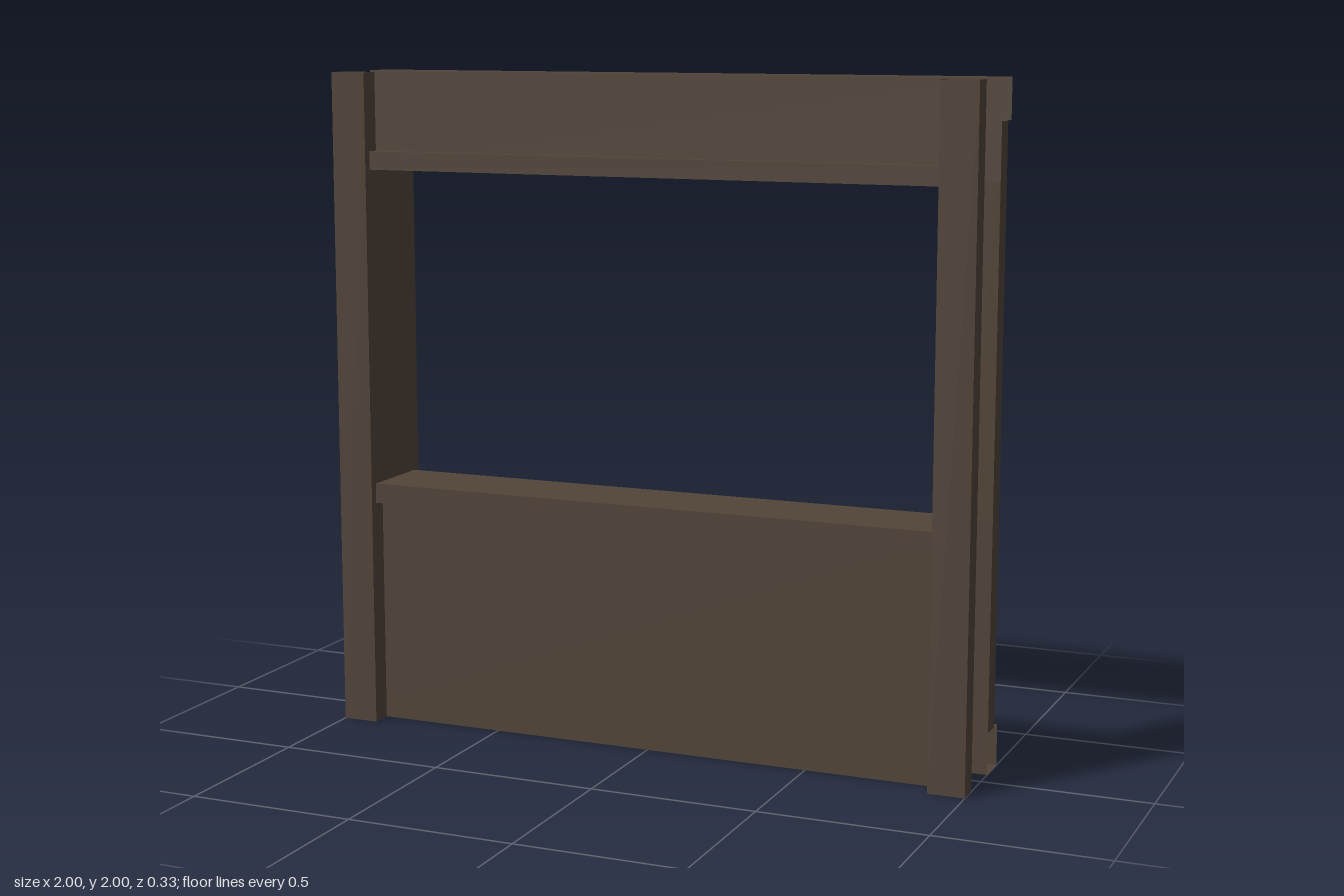
import * as THREE from 'three';

// Main planes of the frame
const W = 1, IN = 0.89, H = 2;
const SILL = 0.75, HEAD = 1.71;
const FRONT = 0.1, BACK = -0.065;

const AXES = { x: 0, y: 1, z: 2 };

export function createModel() {
  const group = new THREE.Group();
  const wood = new THREE.MeshStandardMaterial({ color: 0x524539, side: THREE.DoubleSide });
  wood.name = 'dark wood';

  // Hollow beam: a box without its two end faces along the given axis
  function beam(name, axis, [x0, x1], [y0, y1], [z0, z1]) {
    const geo = new THREE.BoxGeometry(x1 - x0, y1 - y0, z1 - z0);
    const faces = Array.from(geo.index.array);
    faces.splice(AXES[axis] * 12, 12);
    geo.setIndex(faces);
    geo.clearGroups();
    const mesh = new THREE.Mesh(geo, wood);
    mesh.position.set((x0 + x1) / 2, (y0 + y1) / 2, (z0 + z1) / 2);
    mesh.name = name;
    group.add(mesh);
  }

  // Flat wall sheet across the full width
  function sheet(name, y0, y1, z, facing) {
    const mesh = new THREE.Mesh(new THREE.PlaneGeometry(2 * W, y1 - y0), wood);
    mesh.position.set(0, (y0 + y1) / 2, z);
    if (facing < 0) mesh.rotation.y = Math.PI;
    mesh.name = name;
    group.add(mesh);
  }

  // Wall skins below and above the opening
  for (const [side, z, facing] of [['front', FRONT, 1], ['back', BACK, -1]]) {
    sheet(side + 'LowerWall', 0, SILL, z, facing);
    sheet(side + 'UpperWall', HEAD, H, z, facing);
  }

  // Lining of the window opening: sill, head and both jambs
  beam('windowLining', 'z', [-IN, IN], [SILL, HEAD], [BACK, FRONT]);

  // Upright posts: full height in front, between the rails at the back
  for (const [side, xs] of [['left', [IN, W]], ['right', [-W, -IN]]]) {
    beam(side + 'FrontPost', 'y', xs, [0, H], [FRONT, 0.165]);
    beam(side + 'BackPost', 'y', xs, [0.125, 1.88], [-0.13, BACK]);
  }

  // Long rails across the back
  beam('bottomRail', 'x', [-W, W], [0, 0.125], [-0.165, BACK]);
  beam('topRail', 'x', [-W, W], [1.88, H], [-0.165, BACK]);

  // Slim trim along the sill and head on both faces
  for (const [side, zs] of [['front', [FRONT, 0.14]], ['back', [-0.105, BACK]]]) {
    beam(side + 'SillTrim', 'x', [-IN, IN], [0.69, SILL], zs);
    beam(side + 'HeadTrim', 'x', [-IN, IN], [HEAD, 1.765], zs);
  }

  return group;
}
